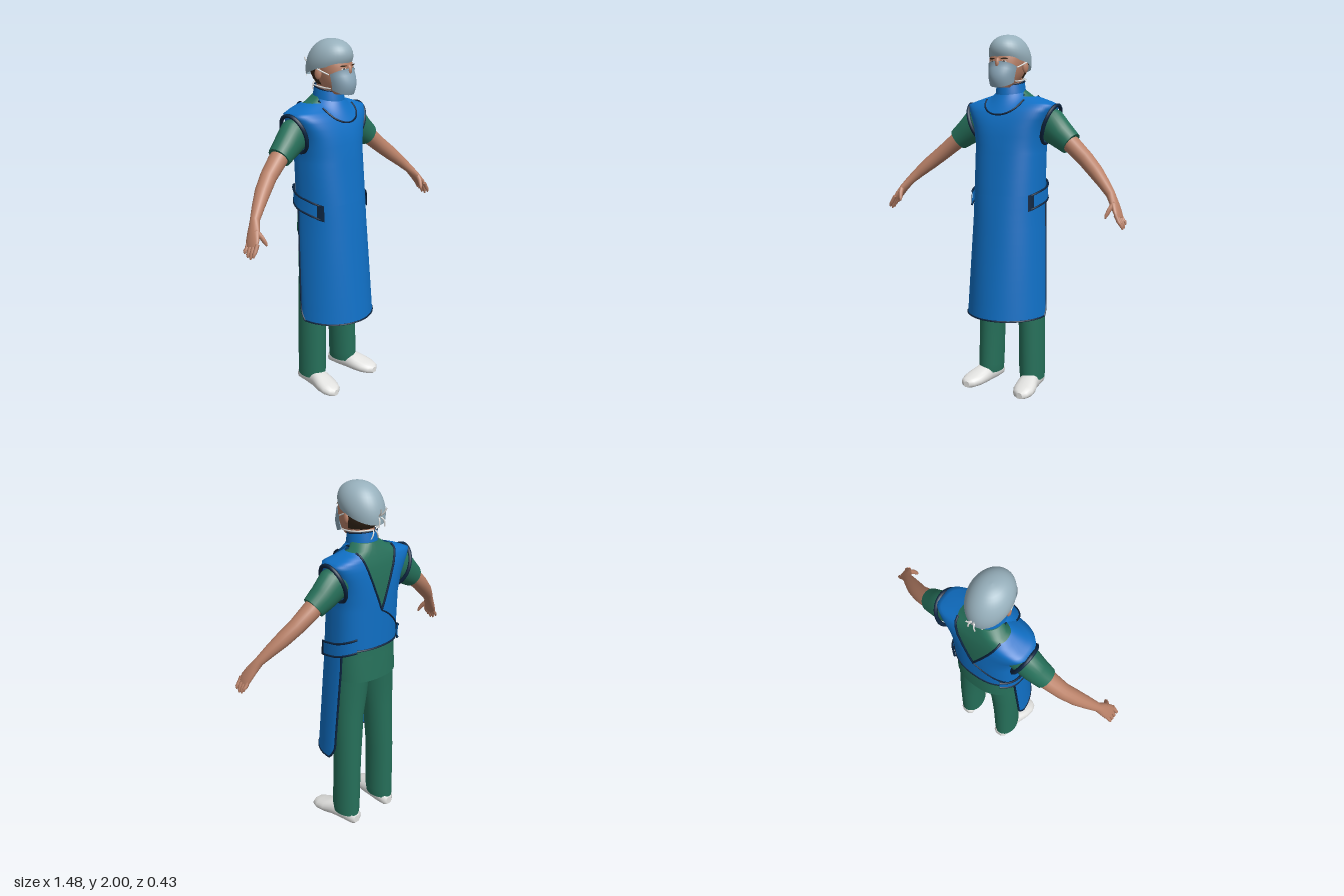
import * as THREE from 'three';

const V = (x, y, z) => new THREE.Vector3(x, y, z);
const mat = (name, color, double) => {
  const m = new THREE.MeshStandardMaterial({ color });
  m.name = name;
  if (double) m.side = THREE.DoubleSide;
  return m;
};

// Skin through rows of points; capped solids are turned to face outwards
function loft(rows, closed = true, caps = closed) {
  const n = rows[0].length, pos = [], idx = [];
  rows.forEach(r => r.forEach(p => pos.push(p.x, p.y, p.z)));
  for (let i = 0; i < rows.length - 1; i++)
    for (let j = 0; j < (closed ? n : n - 1); j++) {
      const a = i * n + j, b = i * n + (j + 1) % n;
      idx.push(a, b, a + n, b, b + n, a + n);
    }
  if (caps) [0, rows.length - 1].forEach(k => {
    const s = pos.length / 3, c = V(0, 0, 0);
    rows[k].forEach(p => { pos.push(p.x, p.y, p.z); c.addScaledVector(p, 1 / n); });
    pos.push(c.x, c.y, c.z);
    for (let j = 0; j < n; j++) {
      const a = s + j, b = s + (j + 1) % n;
      if (k) idx.push(a, b, s + n); else idx.push(b, a, s + n);
    }
  });
  const g = new THREE.BufferGeometry();
  g.setAttribute('position', new THREE.Float32BufferAttribute(pos, 3));
  const p = i => V().fromArray(pos, idx[i] * 3);
  let vol = 0;
  for (let i = 0; i < idx.length; i += 3) vol += p(i).dot(p(i + 1).cross(p(i + 2)));
  if (caps && vol < 0) idx.reverse();
  g.setIndex(idx);
  g.computeVertexNormals();
  return g;
}

function mirrored(g) {
  const m = g.clone().scale(-1, 1, 1);
  m.setIndex([...g.index.array].reverse());
  m.computeVertexNormals();
  return m;
}

const range = (a, b, n) => Array.from({ length: n + 1 }, (_, i) => a + (b - a) * i / n);
const turn = n => range(0, 2 * Math.PI, n).slice(0, n);
const pw = (v, e) => Math.sign(v) * Math.abs(v) ** e;

// Profile rows: y, half width, front z, middle z, back z, squareness power
function sample(t, y) {
  if (y <= t[0][0]) return t[0];
  for (let i = 1; i < t.length; i++) if (y <= t[i][0]) {
    const k = (y - t[i - 1][0]) / (t[i][0] - t[i - 1][0]);
    return t[i].map((v, j) => t[i - 1][j] + (v - t[i - 1][j]) * k);
  }
  return t[t.length - 1];
}
function at(t, y, a, off = 0) {
  const [, w, zf, zc, zb, e] = sample(t, y), c = Math.cos(a);
  return V((w + off) * pw(Math.sin(a), e), y, zc + ((c > 0 ? zf - zc : zc - zb) + off) * pw(c, e));
}
const body = (t, n = 40) => loft(t.map(r => turn(n).map(a => at(t, r[0], a))));
const tube = (pts, r, closed = false) => new THREE.TubeGeometry(
  new THREE.CatmullRomCurve3(pts, closed), Math.max(12, pts.length * 2), r, 6, closed);

// Limb through rows: x, y, z, radius along depth, radius across
function limb(rows, n = 16) {
  const c = rows.map(r => V(r[0], r[1], r[2]));
  return loft(rows.map((r, i) => {
    const t = c[Math.min(i + 1, c.length - 1)].clone().sub(c[Math.max(i - 1, 0)]).normalize();
    const across = V(0, 0, 1).cross(t).normalize(), depth = t.clone().cross(across);
    return turn(n).map(a => c[i].clone().addScaledVector(depth, r[3] * Math.cos(a))
      .addScaledVector(across, r[4] * Math.sin(a)));
  }));
}

const APRON = [
  [0.44, 0.232, 0.215, -0.02, -0.16, 1], [1.0, 0.205, 0.16, -0.05, -0.19, 0.9],
  [1.15, 0.2, 0.143, -0.05, -0.195, 0.85], [1.4, 0.2, 0.112, -0.06, -0.2, 0.8],
  [1.5, 0.215, 0.095, -0.07, -0.197, 0.7], [1.58, 0.25, 0.066, -0.08, -0.19, 0.6],
  [1.62, 0.268, 0.035, -0.085, -0.18, 0.6], [1.64, 0.22, 0.01, -0.09, -0.175, 0.65],
  [1.67, 0.13, -0.02, -0.09, -0.165, 0.75]];
const SHIRT = [[0.94, 0.192, 0.08, -0.05, -0.198, 0.85], [1.08, 0.188, 0.1, -0.05, -0.192, 0.85],
  ...APRON.slice(2).map(([y, w, f, c, b, e]) => [y - (y > 1.6 ? 0.004 : 0), w - 0.014, f - 0.012, c, b + 0.012, e]),
  [1.7, 0.08, -0.005, -0.06, -0.14, 1]];
const HEAD = [[1.715, 0.035, 0.075, 0.03, -0.02, 1], [1.75, 0.066, 0.09, 0, -0.09, 0.95],
  [1.8, 0.086, 0.095, -0.01, -0.13, 0.9], [1.86, 0.098, 0.095, -0.02, -0.145, 0.9],
  [1.93, 0.095, 0.075, -0.03, -0.14, 0.95], [1.97, 0.05, 0.03, -0.03, -0.09, 1]];

export function createModel() {
  const root = new THREE.Group();
  const blue = mat('apronBlue', 0x1070c6, true), navy = mat('trimNavy', 0x0b2440, true);
  const green = mat('scrubGreen', 0x26705a, true), skin = mat('skin', 0xb98168);
  const capMat = mat('capGrey', 0x97b0bc, true), maskMat = mat('maskBlue', 0x8aa6b8, true);
  const hairMat = mat('hairBrown', 0x38281a, true), white = mat('white', 0xe2e2e0);
  const add = (name, g, m) => {
    const mesh = new THREE.Mesh(g, m);
    mesh.name = name;
    root.add(mesh);
    return mesh;
  };
  const pair = (name, g, m) => { add(name + 'Left', g, m); add(name + 'Right', mirrored(g), m); };

  // Scrubs
  add('shirt', body(SHIRT), green);
  pair('trouserLeg', loft([[0.05, 0.138, -0.062, 0.066, 0.088], [0.1, 0.136, -0.06, 0.07, 0.09],
    [0.4, 0.13, -0.064, 0.072, 0.088], [0.7, 0.115, -0.06, 0.082, 0.09], [0.85, 0.1, -0.06, 0.092, 0.1],
    [0.98, 0.09, -0.06, 0.09, 0.11]].map(([y, x, z, rx, rz]) =>
    turn(24).map(a => V(x + rx * Math.sin(a), y, z + rz * Math.cos(a))))), green);
  pair('sleeve', limb([[0.17, 1.535, -0.08, 0.072, 0.088], [0.24, 1.51, -0.078, 0.076, 0.094],
    [0.3, 1.46, -0.075, 0.07, 0.078], [0.362, 1.415, -0.068, 0.062, 0.065]], 24), green);

  // Clogs
  pair('shoe', loft([[-0.152, 0.135, 0.022, 0.045], [-0.14, 0.135, 0.042, 0.07], [-0.08, 0.138, 0.05, 0.095],
    [0, 0.148, 0.055, 0.095], [0.06, 0.16, 0.064, 0.075], [0.11, 0.168, 0.062, 0.06], [0.15, 0.172, 0.045, 0.048],
    [0.166, 0.174, 0.018, 0.034]].map(([z, x, w, h]) => turn(20).map(a =>
    V(x + w * pw(Math.cos(a), 0.8), Math.max(0, h * (0.42 + 0.58 * Math.sin(a))), z)))), white);

  // Apron skirt
  const edge = y => 1.83 - 0.25 * Math.max(0, (0.52 - y) / 0.08) ** 2;
  const skirtYs = [...range(0.44, 0.52, 4), ...range(0.6, 1.13, 8)];
  const skirt = skirtYs.map(y => range(-edge(y), edge(y), 36).map(a => at(APRON, y, a)));
  add('apronSkirt', loft(skirt, false), blue);
  add('skirtHemTrim', tube(skirt[0], 0.005), navy);
  pair('skirtEdgeTrim', tube(skirt.map(r => r[36]), 0.006), navy);

  // Apron vest with a V opening at the back
  const gap = y => {
    const [, w, , , , e] = sample(APRON, y), h = Math.max(0, (y - 1.34) / 0.31) * 0.12;
    return Math.asin(Math.min(0.98, (h / w) ** (1 / e)));
  };
  const vestYs = [1.13, 1.2, 1.27, 1.34, 1.36, 1.4, 1.45, 1.5, 1.54, 1.58, 1.6, 1.62, 1.63, 1.64, 1.655, 1.667];
  const vest = vestYs.map(y => range(-Math.PI + gap(y), Math.PI - gap(y), 64).map(a => at(APRON, y, a)));
  add('apronVest', loft(vest, false), blue);
  pair('backNeckTrim', tube(vest.slice(3).map(r => r[64]), 0.006), navy);
  add('backHemTrim', tube(range(1.83, 2 * Math.PI - 1.83, 24).map(a => at(APRON, 1.13, a)), 0.006), navy);
  add('backOverlapTrim', tube(range(0, 1, 8).map(k => at(APRON, 1.34 - 0.18 * k, Math.PI + 1.05 * k, 0.001)), 0.005), navy);
  pair('armholeTrim', tube(turn(20).map(a =>
    V(0.236 + 0.038 * Math.cos(a), 1.515 + 0.105 * Math.cos(a), -0.08 + 0.088 * Math.sin(a))), 0.011, true), navy);

  // Side belt straps rising towards the back
  const beltY = a => 1.09 + 0.075 * (a - 0.95) / 1.45;
  const strap = (a0, a1, h, off) => loft([-h, h].map(d =>
    range(a0, a1, 16).map(a => at(APRON, beltY(a) + d, a, off))), false);
  pair('beltStrap', strap(1.05, 2.4, 0.038, 0.012), blue);
  pair('beltEnd', strap(0.95, 1.15, 0.045, 0.015), navy);
  for (const d of [-0.038, 0.038]) pair('beltTrim', tube(range(1.05, 2.4, 12).map(a =>
    at(APRON, beltY(a) + d, a, 0.012)), 0.006), navy);

  // Neck collar and its hanging bib
  const collar = (a, y, r) => V((0.078 + r) * Math.sin(a), y - 0.014 * Math.cos(a), -0.045 + (0.083 + r) * Math.cos(a));
  const band = [[1.675, 0.006], [1.7, 0.004], [1.742, -0.002]].map(([y, r]) => turn(32).map(a => collar(a, y, r)));
  add('collar', loft(band, true, false), blue);
  add('collarTopTrim', tube(band[2], 0.004, true), navy);
  add('collarLowerTrim', tube(band[0], 0.005, true), navy);
  const bib = range(0, 1, 5).map(k => range(-1.5, 1.5, 24).map(a => collar(a, 1.69, 0.004).lerp(
    V(0.115 * Math.sin(a), 1.655 - 0.085 * Math.cos(a), 0.105 * Math.cos(a) ** 0.7), k)));
  add('collarBib', loft(bib, false), blue);
  add('bibTrim', tube(bib[5], 0.005), navy);

  // Arms and hands
  pair('arm', limb([[0.3, 1.465, -0.074, 0.05, 0.05], [0.38, 1.4, -0.066, 0.052, 0.048], [0.46, 1.335, -0.05, 0.045, 0.044],
    [0.53, 1.275, -0.022, 0.042, 0.04], [0.59, 1.22, 0.008, 0.034, 0.032], [0.642, 1.168, 0.036, 0.025, 0.025],
    [0.672, 1.125, 0.058, 0.036, 0.021], [0.7, 1.08, 0.077, 0.042, 0.016], [0.712, 1.055, 0.083, 0.036, 0.012]]), skin);
  for (let i = 0; i < 4; i++) {
    const z = 0.052 + 0.021 * i, drop = [0.02, 0.004, 0, 0.012][i];
    pair('finger', limb([[0.702, 1.075, z, 0.011, 0.011], [0.722, 1.04, z + 0.003, 0.0105, 0.0105],
      [0.733, 1.015 + drop, z + 0.003, 0.009, 0.009], [0.735, 1.0 + drop, z + 0.003, 0.004, 0.004]], 8), skin);
  }
  pair('thumb', limb([[0.675, 1.13, 0.075, 0.015, 0.014], [0.665, 1.1, 0.105, 0.014, 0.012],
    [0.655, 1.07, 0.122, 0.01, 0.01], [0.65, 1.055, 0.127, 0.004, 0.004]], 8), skin);

  // Head, neck and ears
  add('head', body(HEAD, 32), skin);
  add('neck', loft([[1.64, -0.062], [1.79, -0.04]].map(([y, z]) =>
    turn(24).map(a => V(0.064 * Math.sin(a), y, z + 0.068 * Math.cos(a))))), skin);
  pair('ear', new THREE.SphereGeometry(1, 12, 8).scale(0.012, 0.032, 0.02).rotateY(-0.3).translate(0.1, 1.825, -0.03), skin);
  add('noseBridge', new THREE.SphereGeometry(1, 12, 8).scale(0.014, 0.03, 0.02).translate(0, 1.845, 0.096), skin);
  add('hair', loft(range(1.765, 1.88, 5).map(y => range(1.75, 2 * Math.PI - 1.75, 24).map(a =>
    at(HEAD, y, a, 0.008))), false), hairMat);

  // Eyes and brows as thin plates
  const plate = (w, h, x, y, z) => new THREE.CircleGeometry(1, 16).scale(w, h, 1).rotateY(0.3).translate(x, y, z);
  pair('eye', plate(0.015, 0.006, 0.036, 1.853, 0.094), white);
  pair('iris', plate(0.006, 0.006, 0.036, 1.853, 0.096), hairMat);
  pair('brow', plate(0.021, 0.004, 0.038, 1.869, 0.094), hairMat);

  // Surgical cap
  const cap = range(-0.3, 1.57, 12).map(f => turn(36).map(a => {
    const c = Math.cos(a), rim = 1.846 + 0.033 * c - 0.015 * Math.max(0, -c), s = Math.cos(f) ** 0.9;
    return V(0.112 * s * Math.sin(a), rim + (2 - rim) * (Math.sin(f) + 0.2955) / 1.2955,
      -0.04 + 0.015 * Math.sin(f) + 0.138 * s * c);
  }));
  add('cap', loft(cap, true, false), capMat);

  // Face mask, bulging forwards
  const mask = range(0, 1, 8).map(k => range(-1, 1, 20).map(u => {
    const top = 1.826 + 0.03 * (1 - u * u), low = 1.742 - 0.026 * (1 - u * u);
    const w = 0.07 + 0.016 * k;
    return V(w * Math.sin(u * 1.45), low + (top - low) * k,
      0.025 + (0.082 + 0.022 * Math.sin(Math.PI * Math.min(1, k + 0.12))) * Math.cos(u * 1.45) ** 0.8);
  }));
  add('mask', loft(mask, false), maskMat);

  // Mask and cap ties
  const ties = [
    [[0.084, 1.822, 0.035], [0.097, 1.835, 0.005], [0.108, 1.85, -0.03]],
    [[0.07, 1.748, 0.035], [0.08, 1.752, -0.02], [0.072, 1.76, -0.09], [0.01, 1.765, -0.135]],
    [[0.005, 1.765, -0.135], [0.015, 1.745, -0.145], [0.025, 1.72, -0.14]],
    [[0.005, 1.84, -0.17], [0.012, 1.865, -0.195], [0.02, 1.89, -0.205]],
    [[0.005, 1.84, -0.17], [0.015, 1.825, -0.19], [0.02, 1.79, -0.19]]];
  ties.forEach(t => pair('tie', tube(t.map(p => V(...p)), 0.004), white));

  return root;
}
